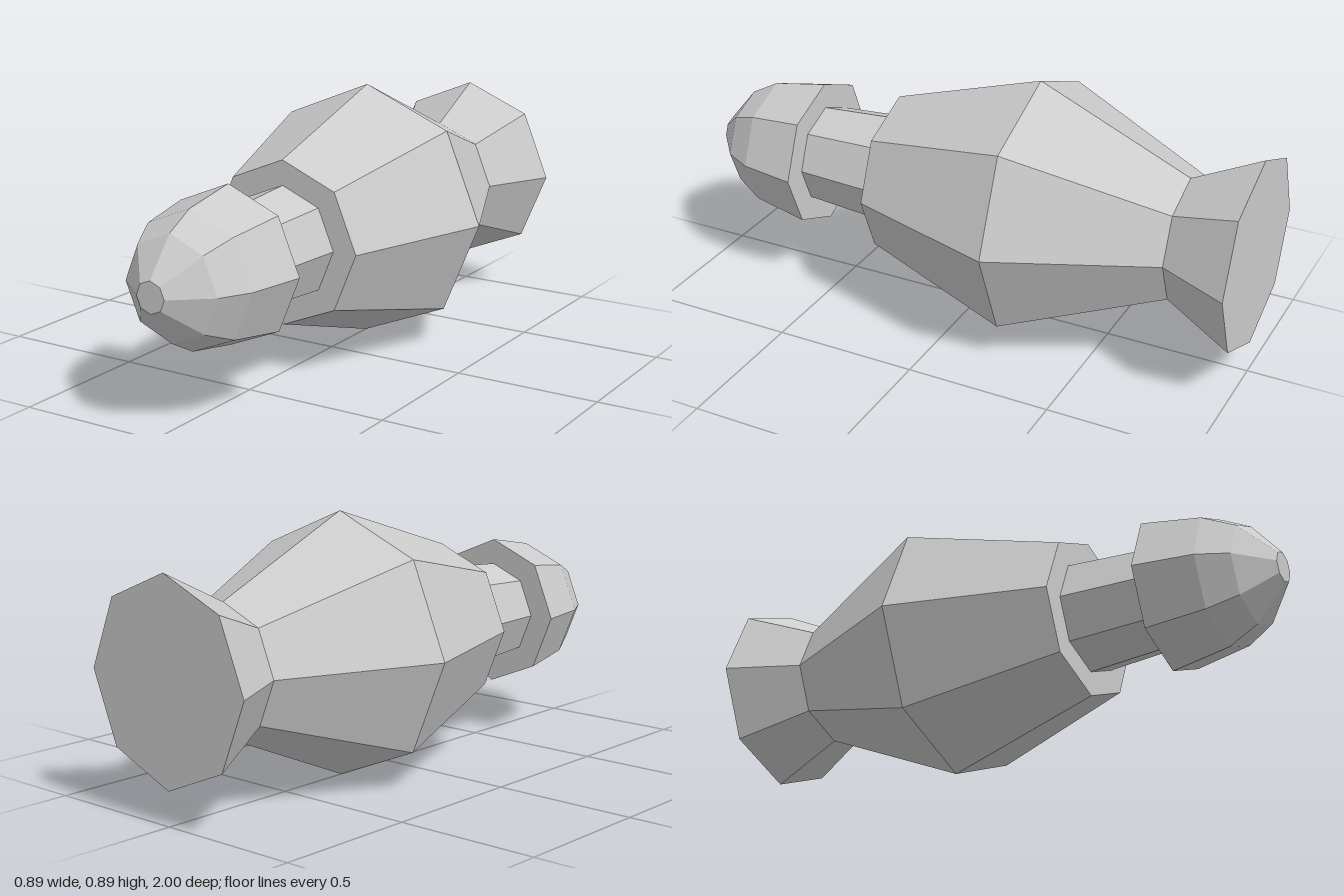
import * as THREE from 'three';

const AXIS_HEIGHT = 0.449;
const SIDES = 8;

export function createModel() {
  const group = new THREE.Group();
  group.name = 'octagonalFishShape';
  const material = new THREE.MeshStandardMaterial({ color: 0xcccccc, flatShading: true });

  // Closed octagonal solid turned about the z axis; rings are [z, radius], back to front
  function turned(name, rings) {
    const first = rings[0][0];
    const last = rings[rings.length - 1][0];
    const profile = [[first, 0], ...rings, [last, 0]].map(([z, r]) => new THREE.Vector2(r, z));
    const geometry = new THREE.LatheGeometry(profile, SIDES);
    geometry.rotateX(Math.PI / 2);
    const mesh = new THREE.Mesh(geometry, material);
    mesh.name = name;
    mesh.position.y = AXIS_HEIGHT;
    group.add(mesh);
  }

  // Flared tail
  turned('tail', [[-1, 0.335], [-0.76, 0.216]]);
  // Bulging body, widest behind the middle
  turned('body', [[-0.76, 0.216], [-0.23, 0.447], [0.3, 0.28]]);
  // Narrow neck
  turned('neck', [[0.3, 0.195], [0.6, 0.174]]);
  // Blunt rounded nose
  turned('nose', [[0.6, 0.263], [0.8, 0.227], [0.9, 0.173], [1, 0.052]]);

  return group;
}
